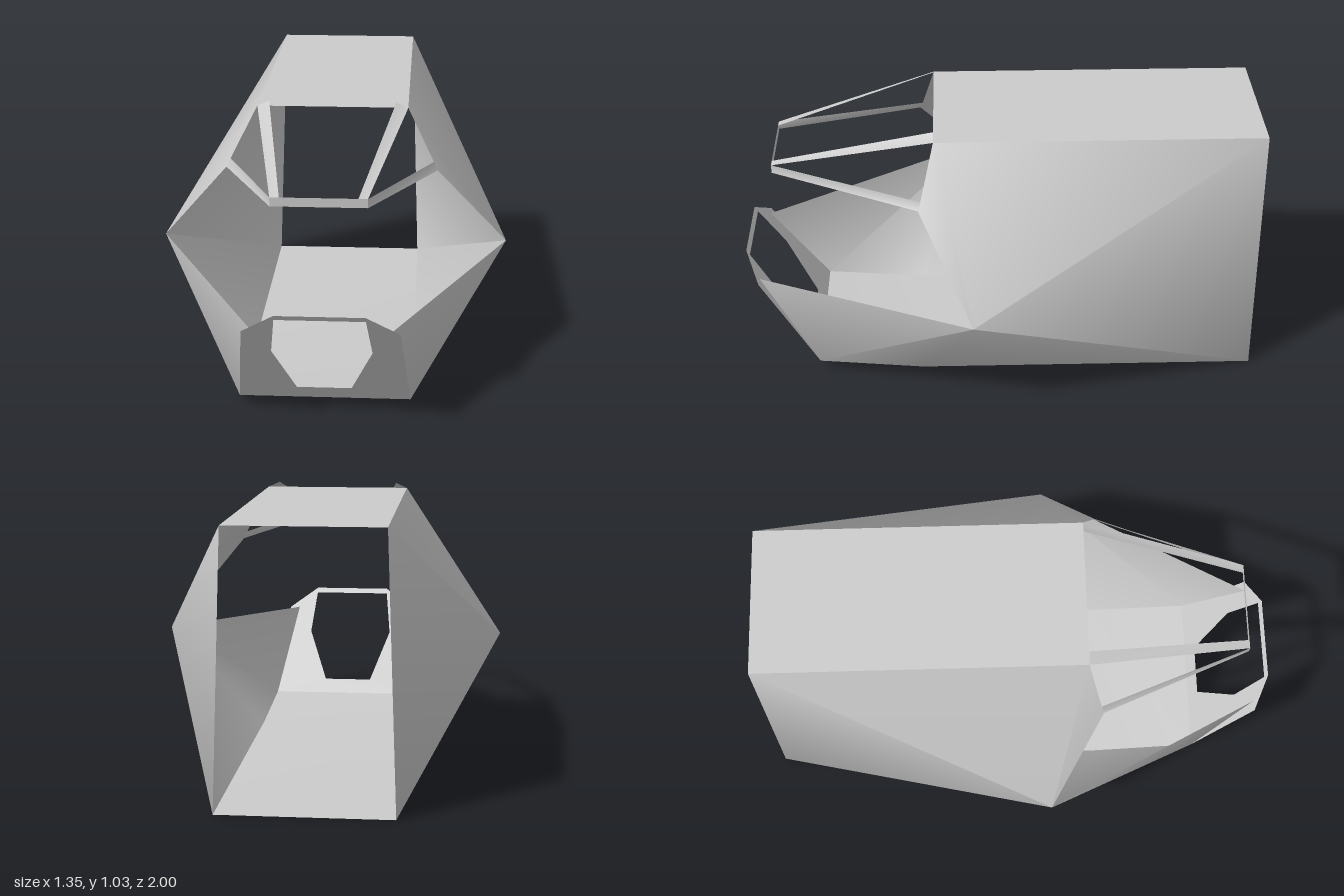
import * as THREE from 'three';
import { toCreasedNormals } from 'three/addons/utils/BufferGeometryUtils.js';

const material = new THREE.MeshStandardMaterial({ color: 0xcccccc, side: THREE.DoubleSide });

// Sheet from named corner points and triangles; side -1 mirrors it in x.
function sheet(name, points, triangles, side = 1) {
  const position = [];
  for (const triangle of triangles) {
    const order = side < 0 ? [...triangle].reverse() : triangle;
    for (const i of order) {
      const [x, y, z] = points[i];
      position.push(x * side, y, z);
    }
  }
  const geometry = new THREE.BufferGeometry();
  geometry.setAttribute('position', new THREE.Float32BufferAttribute(position, 3));
  const mesh = new THREE.Mesh(toCreasedNormals(geometry, 0.8), material);
  mesh.name = name;
  return mesh;
}

const quad = [[0, 1, 2], [0, 2, 3]];

export function createModel() {
  const group = new THREE.Group();
  group.name = 'openCabinHull';

  // Key corners on the +x side
  const roofBack = [0.285, 1.015, -1], roofFront = [0.285, 1.015, 0.25];
  const floorBack = [0.32, 0, -1], floorMid = [0.32, 0, 0.31], floorFront = [0.315, 0.035, 0.72];
  const widest = [0.675, 0.445, 0.11];
  const windowTop = [0.385, 0.82, 0.3], windowBottom = [0.4, 0.79, 0.31];
  const noseCorner = [0.24, 0.385, 0.943];
  const mirror = ([x, y, z]) => [-x, y, z];

  // Roof and bent floor, spanning both sides
  group.add(sheet('roof', [mirror(roofBack), mirror(roofFront), roofFront, roofBack], quad));
  group.add(sheet('floor', [
    floorBack, floorMid, mirror(floorMid), mirror(floorBack), floorFront, mirror(floorFront),
  ], [[0, 1, 2], [0, 2, 3], [1, 4, 5], [1, 5, 2]]));

  for (const side of [1, -1]) {
    const label = side > 0 ? 'left' : 'right';

    // Faceted side wall fanning out from the widest corner
    const rim = [widest, noseCorner, floorFront, floorMid, floorBack, roofBack, roofFront, windowTop, windowBottom];
    const fan = [];
    for (let i = 1; i < rim.length - 1; i++) fan.push([0, i, i + 1]);
    group.add(sheet(label + 'SideWall', rim, fan, side));

    // Thin window frame strips
    const end = side > 0 ? 0.16 : 0.18;
    group.add(sheet(label + 'WindowPost', [
      roofFront, [end, 0.855, 0.87], [end - 0.033, 0.855, 0.87], [0.24, 1.035, 0.25],
    ], quad, side));
    group.add(sheet(label + 'WindowSill', [
      windowTop, windowBottom, [end, 0.822, 0.87], [end, 0.855, 0.87],
    ], quad, side));
  }

  // Cross bar joining the window frames
  group.add(sheet('windowCrossBar', [
    [-0.18, 0.822, 0.87], [0.16, 0.822, 0.87], [0.16, 0.855, 0.87], [-0.18, 0.855, 0.87],
  ], quad));

  // Leaning nose frame with a six-sided opening
  const outline = (half) => [
    ...half.map(([x, y]) => new THREE.Vector2(x, y)),
    ...half.map(([x, y]) => new THREE.Vector2(-x, y)).reverse(),
  ];
  const shape = new THREE.Shape(outline([[0.315, 0.035], [0.28, 0.385], [0.16, 0.467]]));
  shape.holes.push(new THREE.Path(outline([[0.1, 0.09], [0.18, 0.285], [0.16, 0.447]])));
  const noseGeometry = new THREE.ShapeGeometry(shape);
  const p = noseGeometry.attributes.position;
  for (let i = 0; i < p.count; i++) p.setZ(i, 0.72 + (p.getY(i) - 0.035) * 0.64);
  noseGeometry.computeVertexNormals();
  const nose = new THREE.Mesh(noseGeometry, material);
  nose.name = 'noseFrame';
  group.add(nose);

  return group;
}
